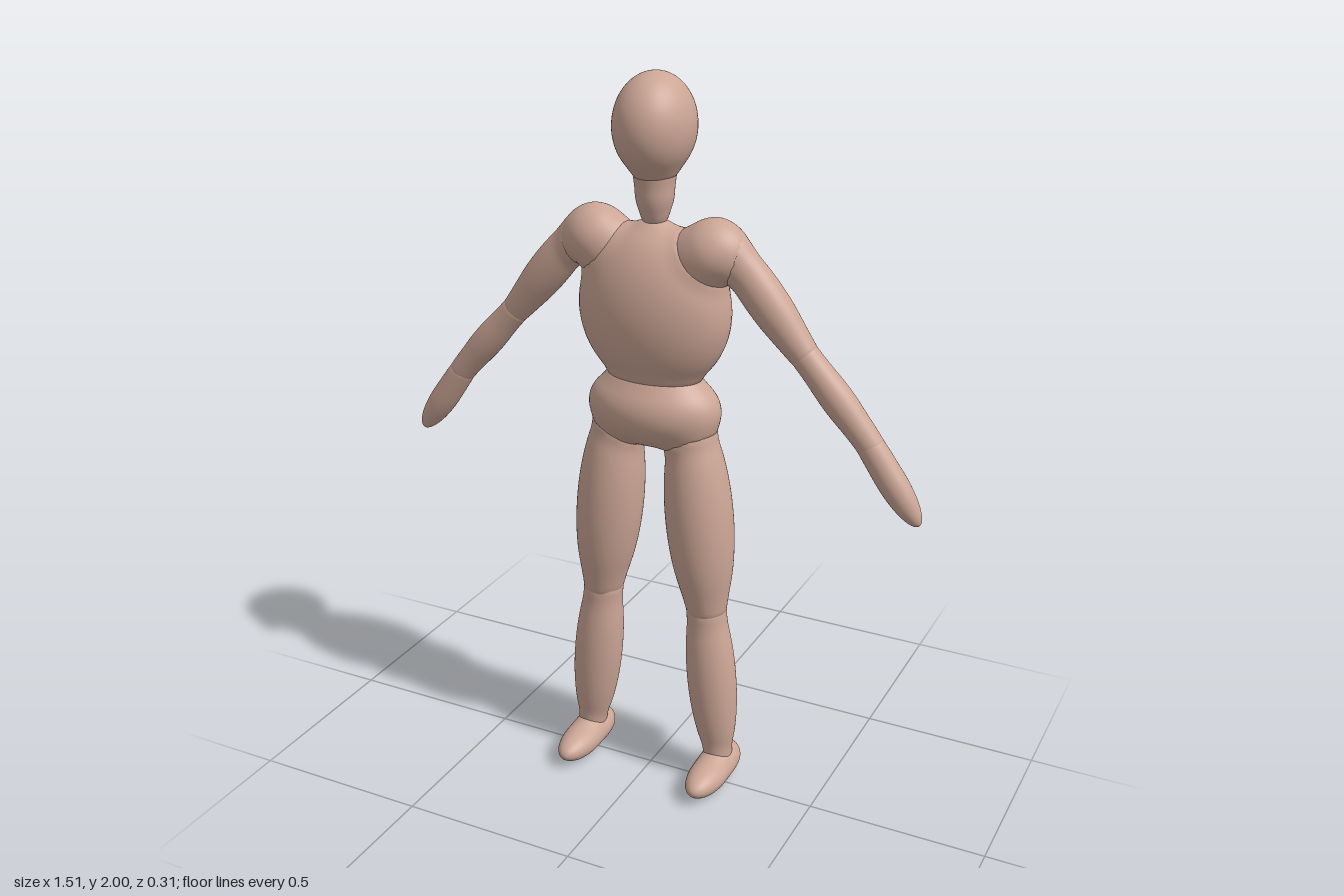
import * as THREE from 'three';
import { mergeVertices } from 'three/addons/utils/BufferGeometryUtils.js';

const Z = -0.022; // depth of the body's centre plane
const BLEND = 0.045; // reach of the soft fillet where two masses meet

// An ellipsoid mass: centre, radii and tilt about z
function mass(name, x, y, z, rx, ry, rz, tilt = 0) {
  return { name, c: new THREE.Vector3(x, y, z), r: new THREE.Vector3(rx, ry, rz), tilt };
}

// A limb segment stretched between two points in the centre plane
function limb(name, x0, y0, x1, y1, rx, rz) {
  const dx = x1 - x0, dy = y1 - y0;
  return mass(name, (x0 + x1) / 2, (y0 + y1) / 2, Z, rx, Math.hypot(dx, dy) / 2, rz, Math.atan2(dx, -dy));
}

function mirrored(m) {
  return mass(m.name.replace('left', 'right'), -m.c.x, m.c.y, m.c.z, m.r.x, m.r.y, m.r.z, -m.tilt);
}

const Z_AXIS = new THREE.Vector3(0, 0, 1);

// Approximate signed distance from a point to a mass
function distance(p, m) {
  const q = p.clone().sub(m.c).applyAxisAngle(Z_AXIS, -m.tilt).divide(m.r);
  const k0 = q.length();
  const k1 = q.divide(m.r).length();
  return k1 < 1e-6 ? -1 : (k0 * (k0 - 1)) / k1;
}

// Sphere shaped to the mass, swelling a little beside its neighbours
function massGeometry(m, others) {
  const geometry = new THREE.SphereGeometry(1, 56, 44);
  geometry.deleteAttribute('uv');
  geometry.deleteAttribute('normal');
  const welded = mergeVertices(geometry, 1e-5);
  const pos = welded.attributes.position;
  const p = new THREE.Vector3(), n = new THREE.Vector3();
  for (let i = 0; i < pos.count; i++) {
    p.fromBufferAttribute(pos, i);
    n.copy(p).divide(m.r).normalize().applyAxisAngle(Z_AXIS, m.tilt);
    p.multiply(m.r).applyAxisAngle(Z_AXIS, m.tilt).add(m.c);
    let push = 0;
    for (const o of others) {
      const near = Math.max(1 - Math.abs(distance(p, o)) / BLEND, 0);
      push = Math.max(push, (BLEND / 4) * near * near);
    }
    p.addScaledVector(n, push);
    pos.setXYZ(i, p.x, p.y, p.z);
  }
  welded.computeVertexNormals();
  return welded;
}

export function createModel() {
  const group = new THREE.Group();
  group.name = 'mannequin';
  const skin = new THREE.MeshStandardMaterial({ color: 0xcca696 });
  skin.name = 'skin';

  // Head and trunk
  const trunk = [
    mass('head', 0, 1.866, Z, 0.105, 0.134, 0.123),
    mass('neck', 0, 1.705, Z, 0.051, 0.09, 0.053),
    mass('chest', 0, 1.392, Z, 0.213, 0.228, 0.133),
    mass('pelvis', 0, 1.118, Z, 0.188, 0.112, 0.12),
  ];

  // Left arm and leg, mirrored for the right
  const leftSide = [
    mass('leftShoulder', 0.163, 1.56, Z, 0.088, 0.084, 0.085),
    limb('leftUpperArm', 0.17, 1.625, 0.44, 1.3, 0.055, 0.051),
    limb('leftForearm', 0.395, 1.355, 0.63, 1.09, 0.043, 0.041),
    limb('leftHand', 0.585, 1.14, 0.747, 0.918, 0.039, 0.037),
    limb('leftThigh', 0.105, 1.13, 0.167, 0.5, 0.093, 0.094),
    limb('leftShin', 0.153, 0.61, 0.207, 0.05, 0.07, 0.065),
    mass('leftFoot', 0.205, 0.044, 0.034, 0.053, 0.044, 0.121),
    mass('leftHeel', 0.205, 0.054, -0.055, 0.045, 0.038, 0.054),
  ];

  const masses = [...trunk, ...leftSide, ...leftSide.map(mirrored)];
  for (const m of masses) {
    // Opposite limbs never blend with each other
    const others = masses.filter((o) => o !== m && o.c.x * m.c.x >= 0);
    const mesh = new THREE.Mesh(massGeometry(m, others), skin);
    mesh.name = m.name;
    group.add(mesh);
  }
  return group;
}
